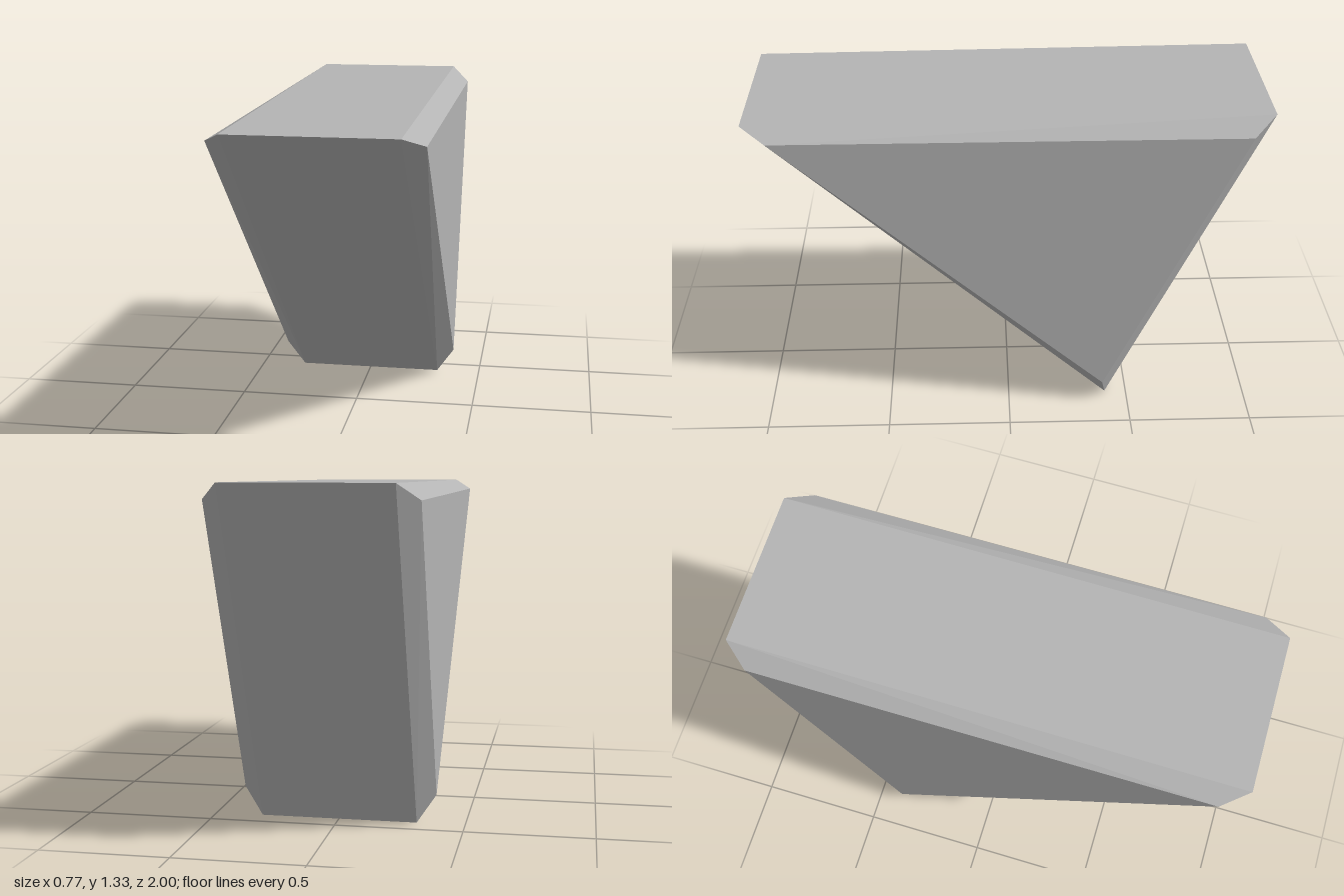
import * as THREE from 'three';
import { ConvexGeometry } from 'three/addons/geometries/ConvexGeometry.js';

export function createModel() {
  const group = new THREE.Group();
  group.name = 'bevelledWedge';
  const grey = new THREE.MeshStandardMaterial({ color: 0xb4b4b4 });
  grey.name = 'grey';

  // Triangular sections as [y, z]: the full body, and the smaller bevelled ends
  const sections = [
    { x: 0.31, corners: [[1.31, 1], [1.33, -1], [0, -0.41]] },
    { x: 0.385, corners: [[1.27, 0.9], [1.27, -0.91], [0.11, -0.39]] },
  ];

  // Mirror both sections across x and wrap them in one faceted solid
  const points = [];
  for (const { x, corners } of sections)
    for (const [y, z] of corners)
      for (const side of [-1, 1]) points.push(new THREE.Vector3(side * x, y, z));

  const wedge = new THREE.Mesh(new ConvexGeometry(points), grey);
  wedge.name = 'wedgeBody';
  group.add(wedge);
  return group;
}
